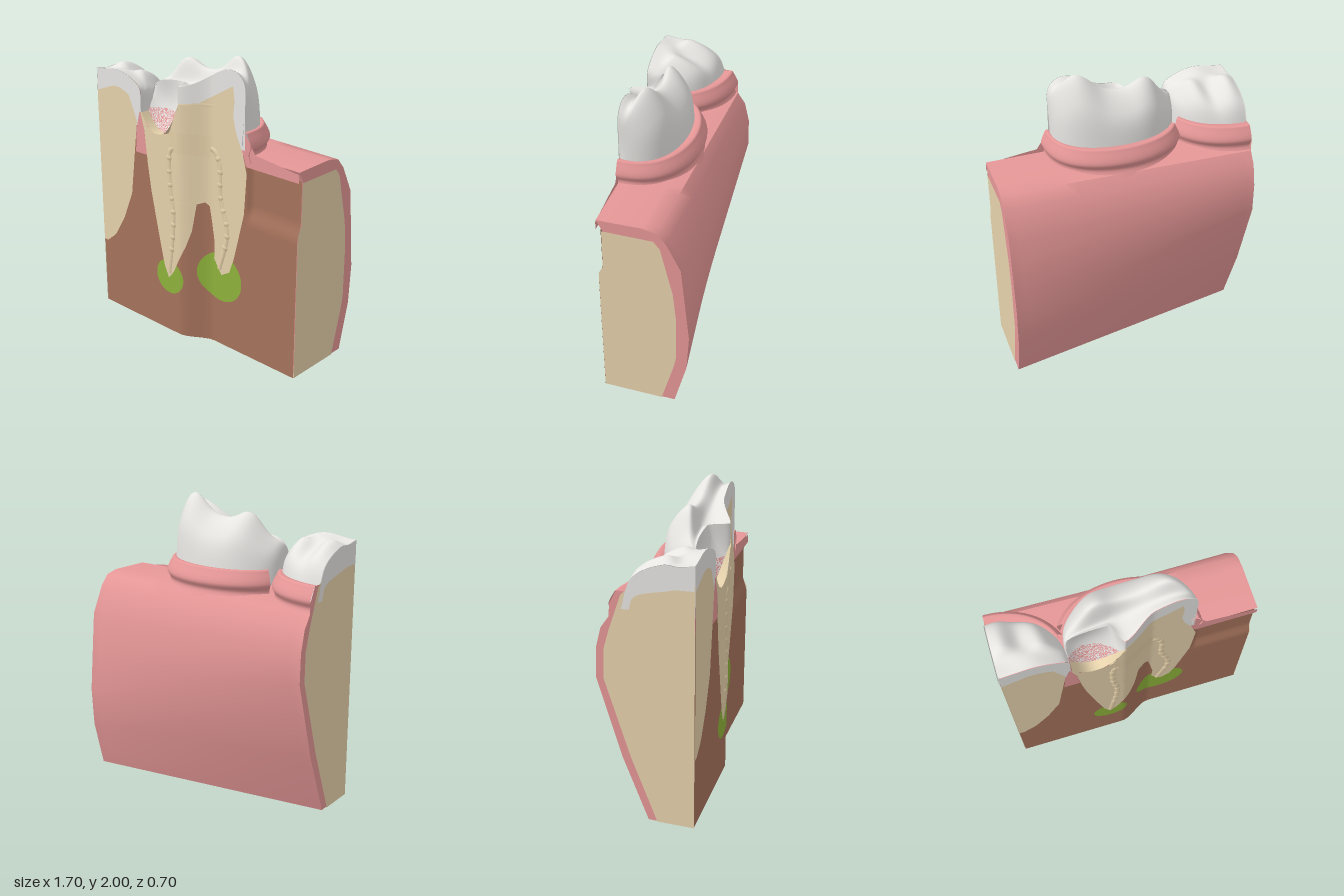
import * as THREE from 'three';
import { mergeVertices, toCreasedNormals } from 'three/addons/utils/BufferGeometryUtils.js';

const { sin, cos, PI } = Math;
const mat = (name, color) => {
  const m = new THREE.MeshStandardMaterial({ color, side: THREE.DoubleSide });
  m.name = name;
  return m;
};
const sstep = (a, b, v) => THREE.MathUtils.smoothstep(v, a, b);
const lerp = THREE.MathUtils.lerp;
const bump = (d, w) => Math.exp(-d * d / (w * w));
const spline = (pts) => new THREE.CatmullRomCurve3(pts.map((p) => new THREE.Vector3(...p)));
// Depth of the wavy front cut
const frontZ = (x) => 0.342 - 0.1 * sstep(-0.09, 0.15, x);

// Grid surface from a point function f(u, v)
function grid(nu, nv, f) {
  const pos = [], idx = [];
  for (let j = 0; j <= nv; j++) for (let i = 0; i <= nu; i++) pos.push(...f(i / nu, j / nv));
  for (let j = 0; j < nv; j++) for (let i = 0; i < nu; i++) {
    const a = j * (nu + 1) + i, b = a + nu + 1;
    idx.push(a, a + 1, b + 1, a, b + 1, b);
  }
  const g = new THREE.BufferGeometry();
  g.setAttribute('position', new THREE.Float32BufferAttribute(pos, 3));
  g.setIndex(idx);
  g.computeVertexNormals();
  return g;
}
// x on a polyline of [x, y] points with rising y
function xAt(pts, y) {
  const i = Math.max(1, pts.findIndex((p) => p[1] >= y - 1e-9));
  const [x0, y0] = pts[i - 1], [x1, y1] = pts[i];
  return lerp(x0, x1, (y - y0) / (y1 - y0));
}
// Thin layer on the front cut between a left and a right boundary
function layer(left, right, lift, nu = 40, extra = () => 0) {
  const y0 = left[0][1], y1 = left[left.length - 1][1];
  return grid(nu, 60, (u, v) => {
    const y = lerp(y0, y1, v), x = lerp(xAt(left, y), xAt(right, y), u);
    return [x, y, frontZ(x) + lift + extra(x, y)];
  });
}
// Flat polygon placed by a rule
function plate(pts, place) {
  const g = new THREE.ShapeGeometry(new THREE.Shape(pts.map((p) => new THREE.Vector2(...p))));
  const p = g.attributes.position;
  for (let i = 0; i < p.count; i++) p.setXYZ(i, ...place(p.getX(i), p.getY(i)));
  g.computeVertexNormals();
  return g;
}

// Crown rules: half-oval footprint, height of the front edge and of the cusps behind it
const mainCrown = {
  cx: 0, a: 0.43, z: 0.25, b: 0.35, from: 0,
  front: (x) => 0.305 + 0.2 * sstep(-0.08, 0.36, x),
  cusps: (x) => 0.305 + 0.08 * sstep(-0.38, -0.22, x) + 0.16 * bump(x - 0.27, 0.14) + 0.06 * bump(x + 0.19, 0.09),
  edgeZ: (x) => lerp(0.21 + 0.2 * (x + 0.25) ** 2, frontZ(x), sstep(-0.14, -0.07, x)),
};
const sideCrown = {
  cx: -0.847, a: 0.445, z: 0.345, b: 0.455, from: PI / 2,
  front: (x) => 0.29 + 0.035 * bump(x + 0.62, 0.15),
  cusps: (x) => 0.29 + 0.025 * cos((x + 0.78) * 28),
  edgeZ: frontZ,
};
function crownPoint(c, t, depth, height) {
  const s = Math.max(0, sin(t)), e = s ** 0.2;
  const x = c.cx - cos(t) * c.a * (0.92 + 0.08 * e);
  return [x, 1.48 + height(x) * e, c.z - c.b * depth * s ** 0.75];
}
function crownEdge(c, t) {
  const [x, y] = crownPoint(c, t, 0, c.front);
  return [x, y, c.edgeZ(x)];
}
// Section through front edge, groove, cusps, shoulder and neck
function crownSection(c, t) {
  return spline([
    crownEdge(c, t),
    crownPoint(c, t, 0.22, (x) => 0.95 * c.front(x)),
    crownPoint(c, t, 0.42, c.cusps),
    crownPoint(c, t, 0.84, (x) => 0.66 * c.cusps(x)),
    crownPoint(c, t, 1, () => -0.02),
  ]);
}
const crownSurface = (c) => grid(72, 32, (u, v) => crownSection(c, lerp(c.from, PI, u)).getPoint(v).toArray());
// Sawn enamel face below the front edge
function crownCut(c, t0) {
  return grid(48, 16, (u, v) => {
    const [x, y] = crownEdge(c, lerp(t0, PI, u));
    return [x, lerp(1.45, y, v), frontZ(x) + 0.003];
  });
}
// Raised gum ring following the footprint: [outward, height] across
function collar(c, t0, t1) {
  const section = spline([[-0.03, 1.56, 0], [0.03, 1.57, 0], [0.045, 1.55, 0], [0.078, 1.48, 0], [0.055, 1.43, 0], [0.08, 1.38, 0]]);
  return grid(56, 24, (u, v) => {
    const t = lerp(t0, t1, u), { x: d, y } = section.getPoint(v);
    return [c.cx - cos(t) * (c.a - 0.02 + d * 0.75), y, c.z - (c.b + d) * Math.max(0, sin(t)) ** 0.75];
  });
}

export function createModel() {
  const root = new THREE.Group();
  const enamel = mat('enamel white', 0xe6e5e2), dentin = mat('dentin beige', 0xe6d2ac);
  const bone = mat('bone brown', 0xa5725b), gum = mat('gum pink', 0xe69797);
  const green = mat('infection green', 0x8eb23b), pulp = mat('pulp tan', 0xe4cfa8);
  const add = (name, geo, m) => {
    const mesh = new THREE.Mesh(geo, m);
    mesh.name = name;
    root.add(mesh);
    return mesh;
  };
  const L = -0.847, R = 0.845;

  // Gum body: [z, y] profile blended from one end to the other
  const seat = [[-0.05, 1.42], [0.24, 1.415], [0.2, 1.34], [0.2, 0.004]];
  const pl = [[0.04, 0.004], [-0.13, 0.45], [-0.285, 0.98], [-0.28, 1.18], [-0.245, 1.32], [-0.19, 1.4], ...seat];
  const pr = [[-0.25, 0.004], [-0.33, 0.33], [-0.345, 0.6], [-0.29, 1.15], [-0.2, 1.33], [-0.14, 1.4], ...seat];
  const n = pl.length;
  const body = grid(24, n, (u, v) => {
    const k = Math.round(v * n) % n;
    return [lerp(L, R, u), lerp(pl[k][1], pr[k][1], u), lerp(pl[k][0], pr[k][0], u)];
  });
  add('gumBody', toCreasedNormals(mergeVertices(body), 0.7), gum);
  add('gumRightEnd', plate(pr, (z, y) => [R, y, z]), gum);
  add('gumLeftEnd', plate([...pl.slice(0, 6), [-0.185, 1.48], [-0.14, 1.57], [0.1, 1.57], [0.2, 0.004]], (z, y) => [L, y, z]), gum);

  // Cut ends and underside
  add('boneRightEnd', plate([[-0.16, 0], [-0.24, 0.3], [-0.26, 0.4], [-0.26, 0.75], [-0.24, 0.95], [-0.16, 1.29], [-0.12, 1.34],
    [0.208, 1.34], [0.21, 1.06], [0.24, 1], [0.24, 0]], (z, y) => [R + 0.003, y, z]), dentin);
  add('boneLeftEnd', plate([[0.1, 0], [-0.07, 0.45], [-0.235, 0.98], [-0.23, 1.18], [-0.19, 1.32], [-0.11, 1.55],
    [0, 1.65], [0.345, 1.65], [0.345, 0]], (z, y) => [L - 0.003, y, z]), dentin);
  // Enamel band on the left end, following the crown section
  const endSection = crownSection(sideCrown, PI / 2);
  add('enamelLeftEnd', grid(40, 4, (u, v) => {
    const { y, z } = endSection.getPoint(u);
    return [L - 0.006, lerp(y, Math.min(y, 1.62 - 0.16 * u ** 3), v), z + 0.05 * v * u ** 3];
  }), enamel);
  const edge = Array.from({ length: 41 }, (_, i) => lerp(L, R, i / 40)).map((x) => [x, frontZ(x)]);
  add('boneUnderside', plate([...edge, [R, -0.16], [L, 0.1]], (x, z) => [x, 0.002, z]), dentin);
  add('frontBoneUnderside', plate([...edge, [R, 0.215], [L, 0.19]], (x, z) => [x, 0, z]), bone);

  // Front cut: bone, infected spots, roots
  add('frontBone', layer([[L, 0], [L, 1.35]], [[R, 0], [R, 1.35]], 0, 100,
    (x, y) => -0.03 * sstep(0.95, 1.08, y) * sstep(0.42, 0.46, x)), bone);
  for (const [cx, cy, rx, ry] of [[-0.175, 0.42, 0.125, 0.125], [0.215, 0.51, 0.18, 0.175]]) {
    add('infectedSpot', grid(30, 40, (u, v) => {
      const a = PI * (v - 0.5), x = cx + (2 * u - 1) * rx * cos(a);
      return [x, cy + ry * sin(a), frontZ(x) + 0.003];
    }), green);
  }
  add('leftRoot', layer([[-0.18, 0.41], [-0.22, 0.5], [-0.27, 0.72], [-0.333, 1.02]],
    [[-0.18, 0.41], [-0.13, 0.47], [-0.03, 0.68], [0.01, 0.8], [0.04, 1], [0.09, 1.02]], 0.006), dentin);
  add('rightRoot', layer([[0.22, 0.53], [0.155, 0.63], [0.16, 0.75], [0.12, 1], [0.09, 1.02]],
    [[0.22, 0.53], [0.29, 0.57], [0.33, 0.68], [0.415, 1.02]], 0.006), dentin);
  add('toothTrunk', layer([[-0.333, 1.02], [-0.36, 1.2], [-0.385, 1.43]], [[0.415, 1.02], [0.435, 1.3], [0.4, 1.43]], 0.006), dentin);
  add('trunkCorner', layer([[-0.385, 1.43], [-0.42, 1.55]], [[-0.29, 1.43], [-0.36, 1.47], [-0.41, 1.55]], 0.006), dentin);
  add('crownDentin', layer([[-0.25, 1.43], [-0.15, 1.46], [-0.06, 1.68], [0.05, 1.685], [0.1, 1.72], [0.31, 1.84]],
    [[0.4, 1.43], [0.345, 1.55], [0.32, 1.65], [0.33, 1.75], [0.32, 1.84]], 0.006), dentin);
  add('neighbourDentin', layer([[L, 0.5], [L, 1.62], [-0.68, 1.68]],
    [[-0.81, 0.5], [-0.72, 0.57], [-0.62, 0.73], [-0.53, 0.94], [-0.48, 1.3], [-0.455, 1.48], [-0.53, 1.65], [-0.62, 1.68]], 0.006), dentin);

  // Gum on the front cut
  add('gumBetweenTeeth', layer([[-0.477, 1.26], [-0.455, 1.45], [-0.43, 1.55]], [[-0.367, 1.26], [-0.395, 1.47], [-0.42, 1.55]], 0.004), gum);
  add('gumFront', layer([[0.43, 1.345], [0.38, 1.48], [0.385, 1.57]],
    [[R, 1.345], [R, 1.4], [0.6, 1.43], [0.5, 1.44], [0.46, 1.5], [0.41, 1.57]], 0.001), gum);

  // Crowns and their gum collars
  const hollowEnd = Math.acos(0.16);
  add('mainCrown', crownSurface(mainCrown), enamel);
  add('mainCrownCut', crownCut(mainCrown, hollowEnd), enamel);
  add('mainCollar', collar(mainCrown, 0.45, PI), gum);
  add('neighbourCrown', crownSurface(sideCrown), enamel);
  add('neighbourCrownCut', crownCut(sideCrown, PI / 2), enamel);
  add('neighbourCollar', collar(sideCrown, PI / 2, PI - 0.4), gum);

  // Hollow in the crown, its lower part speckled with gum
  const lip = (u) => [-0.41 + 0.345 * u, 1.425 + 0.17 * (2 * u - 0.85) ** 2, 0.28 + 0.063 * u ** 4];
  const hollow = grid(60, 50, (u, v) => {
    const a = crownEdge(mainCrown, lerp(0.1, hollowEnd, u)), b = lip(u);
    const p = a.map((k, i) => lerp(k, b[i], v));
    p[2] -= 0.04 * sin(PI * u) * sin(PI * v);
    return p;
  }).toNonIndexed();
  const hp = hollow.attributes.position;
  let seed = 7;
  for (let i = 0; i < hp.count; i += 3) {
    seed = (seed * 16807) % 2147483647;
    hollow.addGroup(i, 3, hp.getY(i) < 1.57 && seed % 100 < 50 ? 1 : 0);
  }
  add('crownHollow', hollow, [enamel, gum]);
  add('hollowFloor', grid(40, 4, (u, v) => {
    const [x, y, z] = lip(u);
    return [x, y, lerp(z, 0.348, v)];
  }), dentin);

  // Pulp chamber and root canals
  add('pulpChamber', layer([[-0.11, 1.34], [-0.14, 1.36], [-0.135, 1.43], [-0.16, 1.45], [-0.14, 1.48]],
    [[0.13, 1.34], [0.16, 1.36], [0.14, 1.43], [0.16, 1.45], [0.15, 1.48]], 0.01), pulp);
  for (const pts of [
    [[-0.11, 1.37], [-0.145, 1.34], [-0.15, 1.1], [-0.125, 0.93], [-0.13, 0.78], [-0.175, 0.45]],
    [[0.13, 1.4], [0.17, 1.38], [0.205, 1.3], [0.21, 1.1], [0.27, 0.85], [0.2, 0.57]],
  ]) {
    const path = spline(pts.map(([x, y]) => [x, y, frontZ(x) - 0.014]));
    add('rootCanal', new THREE.TubeGeometry(path, 60, 0.028, 10), pulp);
    for (let i = 1; i < 9; i++) {
      const knot = add('canalKnot', new THREE.SphereGeometry(0.032, 10, 8), pulp);
      knot.position.copy(path.getPointAt(i / 10));
    }
  }
  return root;
}
